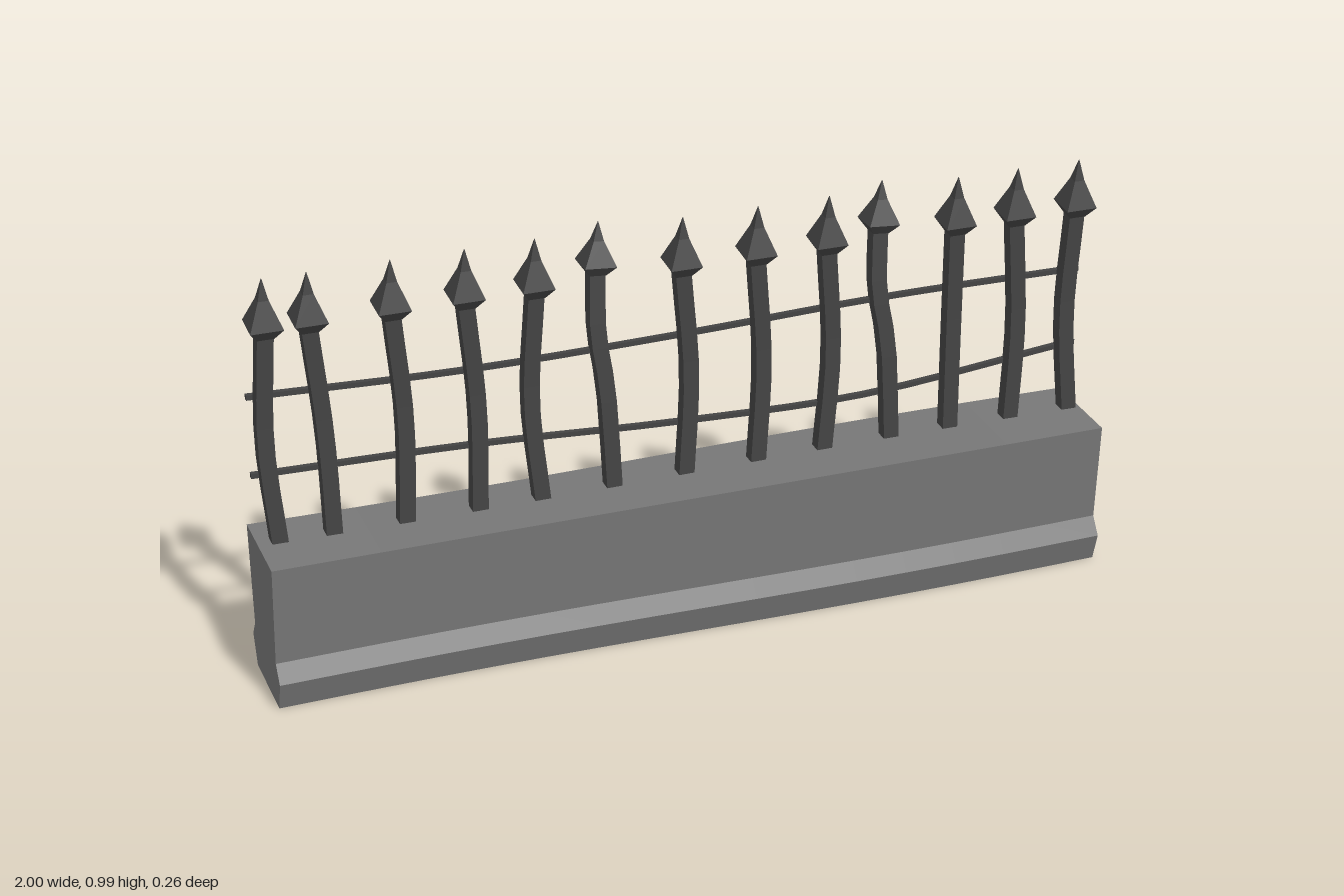
import * as THREE from 'three';

const stone = new THREE.MeshStandardMaterial({ color: 0x777777, flatShading: true });
const iron = new THREE.MeshStandardMaterial({ color: 0x444444, flatShading: true });

// Closed solid through a series of rings, each counter-clockwise seen from the end of the sweep
function sweep(name, rings, material) {
  const pos = [];
  const tri = (...pts) => pts.forEach((p) => pos.push(p.x, p.y, p.z));
  const n = rings[0].length;
  const middle = (ring) => ring.reduce((s, p) => s.add(p), new THREE.Vector3()).divideScalar(n);
  const first = rings[0], last = rings[rings.length - 1];
  const c0 = middle(first), c1 = middle(last);
  for (let i = 0; i < n; i++) {
    const j = (i + 1) % n;
    for (let k = 0; k < rings.length - 1; k++) {
      const a = rings[k], b = rings[k + 1];
      tri(a[i], a[j], b[j]);
      tri(a[i], b[j], b[i]);
    }
    tri(c0, first[j], first[i]);
    tri(c1, last[i], last[j]);
  }
  const geo = new THREE.BufferGeometry();
  geo.setAttribute('position', new THREE.Float32BufferAttribute(pos, 3));
  geo.computeVertexNormals();
  const mesh = new THREE.Mesh(geo, material);
  mesh.name = name;
  return mesh;
}

// Four-cornered ring facing up (+y) or along +x
const CORNERS = [[-1, -1], [1, -1], [1, 1], [-1, 1]];
const ringUp = (c, hx, hz) => CORNERS.map(([z, x]) => new THREE.Vector3(c.x + x * hx, c.y, c.z + z * hz));
const ringAlong = (c, h) => CORNERS.map(([y, z]) => new THREE.Vector3(c.x, c.y + y * h, c.z + z * h));

const curveOf = (points) => new THREE.CatmullRomCurve3(points.map((p) => new THREE.Vector3(...p)));

// Wall with a bulging foot; its front face and top wave gently along the length
function makeWall() {
  const profile = [ // z, y
    [0.1, 0], [-0.1, 0], [-0.127, 0.07], [-0.1, 0.11], [-0.12, 0.352],
    [0.109, 0.352], [0.092, 0.11], [0.121, 0.07],
  ];
  const rings = [];
  for (let i = 0; i <= 16; i++) {
    const x = -1 + i / 8, wave = Math.sin(Math.PI * x);
    rings.push(profile.map(([z, y]) => new THREE.Vector3(
      x, y > 0.3 ? y + 0.004 * wave : y, z > 0 ? z + 0.008 * wave : z)));
  }
  return sweep('wall', rings, stone);
}

// Bent square bar with a four-sided spear head
function makePicket([xBottom, xMiddle, xTop, leaning]) {
  const picket = new THREE.Group();
  picket.name = 'picket';
  const topY = leaning ? 0.876 : 0.858, topZ = leaning ? -0.043 : -0.015;
  const points = [[xBottom, 0.33, -0.026], [xMiddle, 0.6, -0.025], [xTop, topY, topZ]];
  if (leaning) points.splice(2, 0, [xTop - 0.004, 0.74, -0.031]);
  picket.add(sweep('bar', curveOf(points).getPoints(7).map((p) => ringUp(p, 0.0185, 0.0165)), iron));

  const levels = [[0, 0.019], [0.027, 0.037], [0.09, 0.012], [0.139, 0.0005]]; // height, half width
  const head = sweep('spearHead', levels.map(([y, h]) => ringUp({ x: 0, y, z: 0 }, h, h)), iron);
  head.position.set(xTop, topY - 0.003, topZ);
  if (leaning) {
    head.scale.y = 0.87;
    head.rotation.set(-0.05, 0, -0.08);
  } else {
    head.rotation.x = 0.07;
  }
  picket.add(head);
  return picket;
}

// Thin sagging rail behind the pickets
function makeRail(name, heights) {
  const path = curveOf(heights.map(([x, y]) => [x, y, -0.044]));
  return sweep(name, path.getPoints(20).map((p) => ringAlong(p, 0.006)), iron);
}

export function createModel() {
  const model = new THREE.Group();
  model.name = 'spearFence';
  model.add(makeWall());

  // x at bottom, middle and top; true where the picket leans back
  const pickets = [
    [-0.948, -0.969, -0.958], [-0.826, -0.835, -0.86], [-0.66, -0.654, -0.676],
    [-0.49, -0.487, -0.51], [-0.34, -0.364, -0.351], [-0.17, -0.186, -0.2, true],
    [0.002, 0.014, -0.008], [0.178, 0.19, 0.17], [0.342, 0.36, 0.341],
    [0.513, 0.497, 0.478, true], [0.662, 0.661, 0.657], [0.817, 0.826, 0.806],
    [0.973, 0.951, 0.959],
  ];
  pickets.forEach((p) => model.add(makePicket(p)));

  model.add(makeRail('upperRail', [[-1, 0.703], [-0.5, 0.686], [0, 0.691], [0.5, 0.705], [0.99, 0.702]]));
  model.add(makeRail('lowerRail', [[-1, 0.512], [-0.5, 0.5], [0, 0.472], [0.45, 0.463], [0.99, 0.513]]));
  return model;
}
